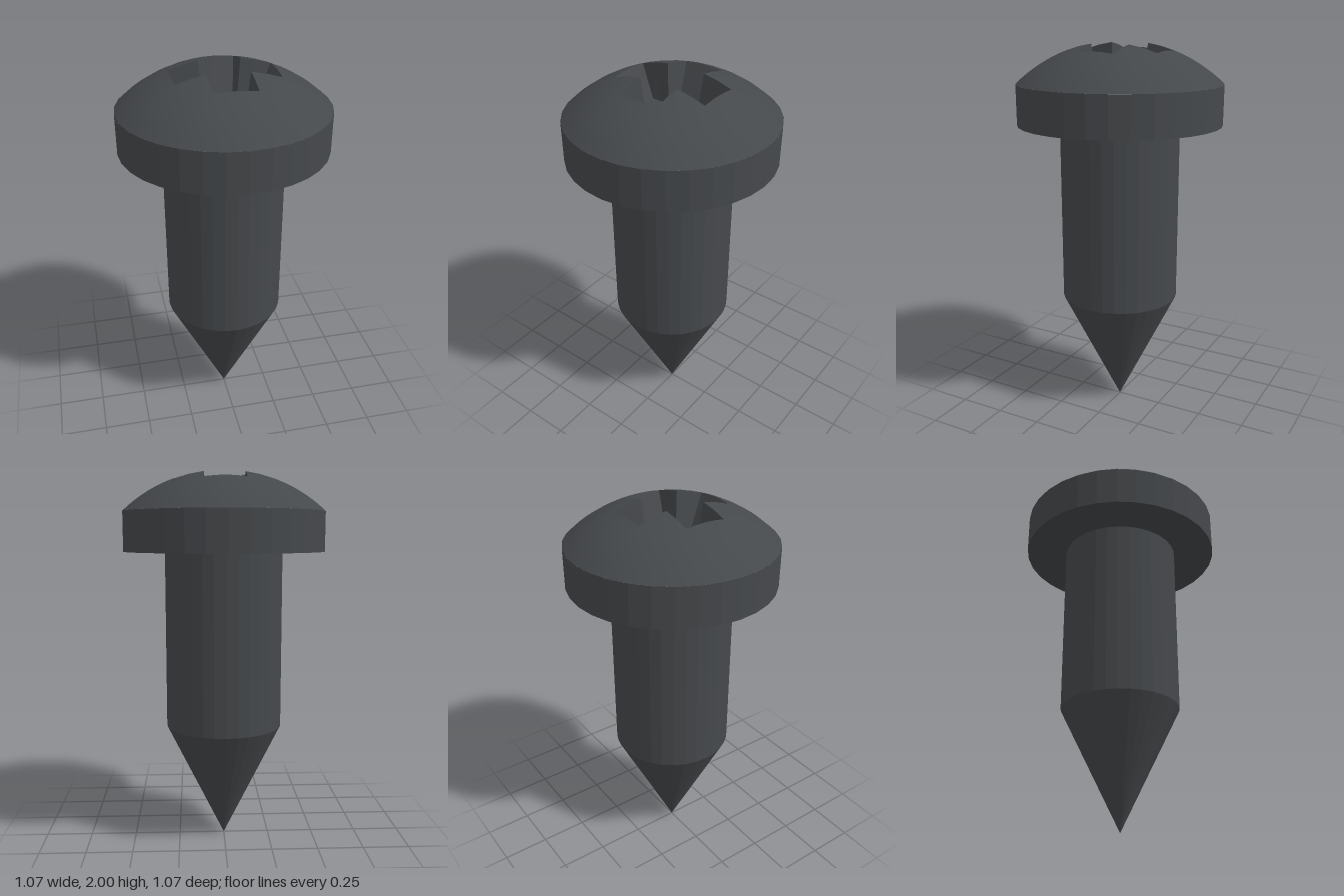
import * as THREE from 'three';

const SIDES = 32;
const HEAD_R = 0.537, HEAD_TOP = 1.8, HEAD_BOTTOM = 1.59;
const SHANK_R = 0.315, TIP_TOP = 0.64;
const FLOOR_Y = 1.8;

// height of the domed top at a distance from the axis
const DOME_R = 0.781;
const domeY = (r) => 2.014 - DOME_R + Math.sqrt(DOME_R * DOME_R - r * r);

const ring = (fn) => Array.from({ length: SIDES }, (_, k) => fn(k));

const circle = (r, y) => ring((k) => {
  const a = (k / SIDES) * Math.PI * 2;
  return new THREE.Vector3(Math.cos(a) * r, y, Math.sin(a) * r);
});

// cross outline with eight points per quarter; L = arm length, W = half arm width
function cross(L, W, yAt) {
  const half = [[L, 0], [L, W / 2], [L, W], [(L + W) / 2, W], [W, W]];
  return ring((k) => {
    const j = k % 8;
    let [x, z] = j <= 4 ? half[j] : [...half[8 - j]].reverse();
    for (let q = 0; q < Math.floor(k / 8); q++) [x, z] = [-z, x];
    return new THREE.Vector3(x, yAt(Math.hypot(x, z)), z);
  });
}

// skin between successive rings, ordered from the outside to the centre
function skin(rings, flat) {
  const index = [];
  for (let i = 0; i < rings.length - 1; i++) {
    for (let k = 0; k < SIDES; k++) {
      const n = (k + 1) % SIDES;
      const a = i * SIDES + k, a1 = i * SIDES + n;
      const b = a + SIDES, b1 = a1 + SIDES;
      index.push(a, b, a1, b, b1, a1);
    }
  }
  let geo = new THREE.BufferGeometry().setFromPoints(rings.flat());
  geo.setIndex(index);
  if (flat) geo = geo.toNonIndexed();
  geo.computeVertexNormals();
  return geo;
}

export function createModel() {
  const group = new THREE.Group();
  const smooth = new THREE.MeshStandardMaterial({ color: 0x45484b });
  const faceted = new THREE.MeshStandardMaterial({ color: 0x45484b, flatShading: true });
  const add = (name, geo, mat = smooth, y = 0) => {
    const mesh = new THREE.Mesh(geo, mat);
    mesh.name = name;
    mesh.position.y = y;
    group.add(mesh);
  };

  // domed top, blending from the round edge to the cross-shaped opening
  const rim = cross(0.262, 0.107, domeY);
  const edge = circle(HEAD_R, HEAD_TOP);
  const domeRings = [];
  const STEPS = 8;
  for (let i = 0; i <= STEPS; i++) {
    domeRings.push(ring((k) => {
      const p = edge[k].clone().lerp(rim[k], i / STEPS);
      p.y = domeY(Math.hypot(p.x, p.z));
      return p;
    }));
  }
  add('headDome', skin(domeRings, false));

  // tapered cross recess with a drilled point in its floor
  const floor = cross(0.185, 0.087, () => FLOOR_Y);
  const dimple = circle(0.097, FLOOR_Y);
  add('recessWalls', skin([rim, floor], true));
  add('recessFloor', skin([floor, dimple], true));
  add('recessDimple', skin([dimple, circle(0, FLOOR_Y - 0.03)], true));

  // head side and underside
  const headH = HEAD_TOP - HEAD_BOTTOM;
  add('headSide', new THREE.CylinderGeometry(HEAD_R, HEAD_R, headH, SIDES, 1, true),
    faceted, HEAD_BOTTOM + headH / 2);
  const under = new THREE.RingGeometry(SHANK_R, HEAD_R, SIDES);
  under.rotateX(Math.PI / 2);
  add('headUnderside', under, smooth, HEAD_BOTTOM);

  // shank and pointed tip
  const shankH = HEAD_BOTTOM - TIP_TOP;
  add('shank', new THREE.CylinderGeometry(SHANK_R, SHANK_R, shankH, SIDES, 1, true),
    faceted, TIP_TOP + shankH / 2);
  add('tip', new THREE.CylinderGeometry(SHANK_R, 0, TIP_TOP, SIDES, 1, true),
    faceted, TIP_TOP / 2);

  return group;
}
